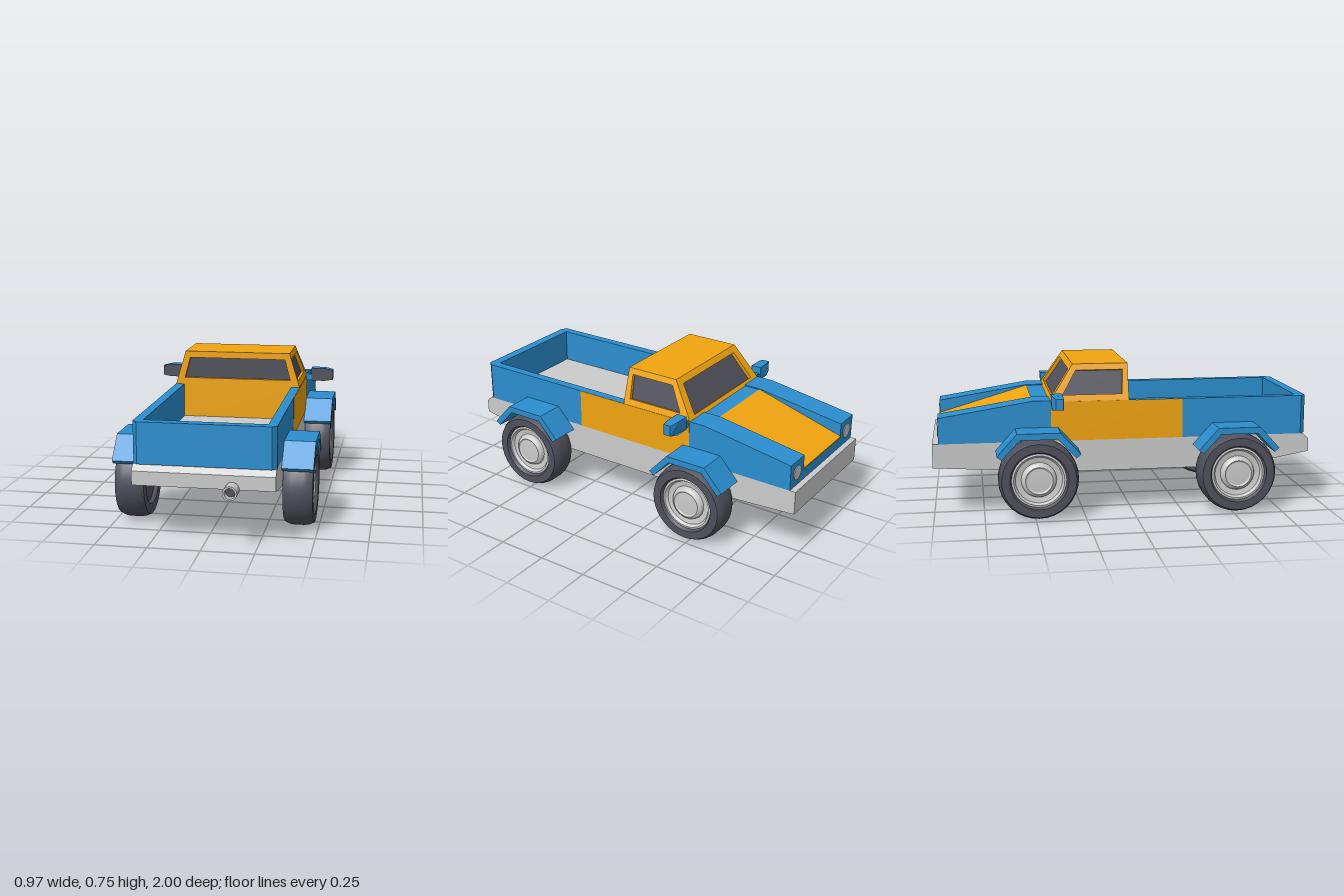
import * as THREE from 'three';
import { toCreasedNormals } from 'three/addons/utils/BufferGeometryUtils.js';

const mat = (color) => new THREE.MeshStandardMaterial({ color });
const GREY = mat(0xcccccc), BLUE = mat(0x2b8fd0), ORANGE = mat(0xf2a50f), DARK = mat(0x50505c);

export function createModel() {
  const truck = new THREE.Group();
  truck.name = 'pickupTruck';

  function add(name, geometry, material, parent = truck) {
    const mesh = new THREE.Mesh(geometry, material);
    mesh.name = name;
    parent.add(mesh);
    return mesh;
  }
  const shapeOf = (pts) => new THREE.Shape(pts.map(([a, b]) => new THREE.Vector2(a, b)));

  // side profile of [z, y] points, extruded across from x0 to x1
  function profile(pts, x0, x1) {
    const g = new THREE.ExtrudeGeometry(shapeOf(pts), { depth: x1 - x0, bevelEnabled: false });
    return g.rotateY(-Math.PI / 2).translate(x1, 0, 0);
  }
  function box(x0, x1, y0, y1, z0, z1) {
    return new THREE.BoxGeometry(x1 - x0, y1 - y0, z1 - z0)
      .translate((x0 + x1) / 2, (y0 + y1) / 2, (z0 + z1) / 2);
  }
  function quads(list) {
    const pos = list.flatMap(([a, b, c, d]) => [a, b, c, a, c, d].flatMap((p) => p.toArray()));
    const g = new THREE.BufferGeometry();
    g.setAttribute('position', new THREE.Float32BufferAttribute(pos, 3));
    g.computeVertexNormals();
    return g;
  }
  const lathe = (pts, n) => toCreasedNormals(
    new THREE.LatheGeometry(pts.map(([r, h]) => new THREE.Vector2(r, h)), n), 0.45);

  // Cab face with a recessed window; corners run counter-clockwise from bottom left
  function windowPanel(name, corners, u0, u1, v0, v1) {
    const c = corners.map((p) => new THREE.Vector3(...p));
    const at = (u, v) => c[0].clone().lerp(c[1], u).lerp(c[3].clone().lerp(c[2], u), v);
    const inward = c[1].clone().sub(c[0]).cross(c[3].clone().sub(c[0])).normalize().multiplyScalar(-0.018);
    const rim = [at(u0, v0), at(u1, v0), at(u1, v1), at(u0, v1)];
    const glass = rim.map((p) => p.clone().add(inward));
    const frame = [];
    for (let i = 0; i < 4; i++) {
      const j = (i + 1) % 4;
      frame.push([c[i], c[j], rim[j], rim[i]], [rim[i], rim[j], glass[j], glass[i]]);
    }
    add(name + 'Frame', quads(frame), ORANGE);
    add(name + 'Glass', quads([glass]), DARK);
  }

  // Chassis
  add('chassis', profile([[-1, 0.37], [-1, 0.25], [-0.36, 0.21], [0.56, 0.21], [0.93, 0.275],
    [0.93, 0.342], [0.9, 0.37]], -0.335, 0.335), GREY);

  // Cargo bed: U-shaped wall with clipped rear corners, and floor
  const wall = new THREE.ExtrudeGeometry(shapeOf([[-0.335, 0.02], [-0.335, -0.885], [-0.313, -0.91],
    [0.313, -0.91], [0.335, -0.885], [0.335, 0.02], [0.29, 0.02], [0.29, -0.86], [-0.29, -0.86],
    [-0.29, 0.02]]), { depth: 0.2, bevelEnabled: false });
  add('bedWalls', wall.rotateX(-Math.PI / 2).translate(0, 0.37, 0), BLUE);
  add('bedFloor', box(-0.29, 0.29, 0.365, 0.395, -0.02, 0.86), GREY);

  // Cab
  const W = 0.335, T = 0.28, Y0 = 0.57, Y1 = 0.75, ZR = -0.015, ZF = -0.415, ZT = -0.295;
  add('cabLower', box(-W, W, 0.37, Y0, -0.41, ZR), ORANGE);
  const rb = [W, Y0, ZR], fb = [W, Y0, ZF], ft = [T, Y1, ZT], rt = [T, Y1, ZR];
  const flip = ([x, y, z]) => [-x, y, z];
  windowPanel('leftWindow', [rb, fb, ft, rt], 0.09, 0.88, 0.17, 0.83);
  windowPanel('rightWindow', [fb, rb, rt, ft].map(flip), 0.12, 0.91, 0.17, 0.83);
  windowPanel('rearWindow', [flip(rb), rb, rt, flip(rt)], 0.06, 0.94, 0.2, 0.81);
  windowPanel('windshield', [fb, flip(fb), flip(ft), ft], 0.08, 0.92, 0.1, 0.84);
  add('roof', quads([[flip(rt), rt, ft, flip(ft)].map((p) => new THREE.Vector3(...p))]), ORANGE);

  // Hood: sunken centre between two raised sides
  add('hoodBase', profile([[-0.41, 0.37], [-0.41, 0.57], [-0.5, 0.57], [-0.97, 0.43], [-0.97, 0.37]],
    -0.2, 0.2), BLUE);
  add('hoodPanel', profile([[-0.5, 0.565], [-0.5, 0.572], [-0.973, 0.432], [-0.973, 0.425]],
    -0.2, 0.2), ORANGE);

  // Wheel shapes, with the axle along x and the outer face at +x
  const tyre = lathe([[0, 0.02], [0.125, 0.02], [0.135, 0], [0.185, 0], [0.197, 0.025], [0.2, 0.045],
    [0.2, 0.098], [0.197, 0.118], [0.185, 0.143], [0.145, 0.143], [0.134, 0.125], [0.134, 0.1]], 32)
    .rotateZ(-Math.PI / 2);
  const rim = lathe([[0.136, 0.128], [0.126, 0.13], [0.116, 0.115], [0.088, 0.11], [0.082, 0.125],
    [0.068, 0.135], [0.06, 0.13], [0, 0.133]], 32).rotateZ(-Math.PI / 2);

  for (const s of [1, -1]) {
    const side = s > 0 ? 'left' : 'right';
    const span = (a, b) => (s > 0 ? [a, b] : [-b, -a]);

    add(side + 'SidePanel', box(...span(0.32, 0.337), 0.37, 0.569, -0.41, 0.26), ORANGE);
    add(side + 'HoodSide', profile([[-0.41, 0.37], [-0.41, 0.575], [-0.5, 0.575], [-0.97, 0.5],
      [-0.97, 0.37]], ...span(0.2, 0.335)), BLUE);
    add(side + 'Headlight', new THREE.CylinderGeometry(0.037, 0.037, 0.01, 24)
      .rotateX(Math.PI / 2).translate(s * 0.268, 0.437, -0.969), GREY);

    // Wheels and angular wheel arches
    for (const [end, z] of [['Front', -0.482], ['Rear', 0.523]]) {
      const wheel = new THREE.Group();
      wheel.name = side + end + 'Wheel';
      wheel.position.set(s * 0.337, 0.2, z);
      wheel.rotation.y = s > 0 ? 0 : Math.PI;
      add('tyre', tyre, DARK, wheel);
      add('rim', rim, GREY, wheel);
      truck.add(wheel);
      const arch = [[0.207, 0.33], [0.107, 0.44], [-0.107, 0.44], [-0.207, 0.33], [-0.183, 0.311],
        [-0.093, 0.408], [0.093, 0.408], [0.183, 0.311]];
      add(side + end + 'Arch', profile(arch.map(([a, y]) => [a + z, y]), ...span(0.325, 0.485)), BLUE);
    }

    // Door mirror with a dark rear-facing glass
    const outline = [[0.365, 0.545], [0.44, 0.545], [0.485, 0.553], [0.485, 0.607], [0.44, 0.615],
      [0.365, 0.615]].map(([x, y]) => [x * s, y]);
    const slab = (depth, z) => new THREE.ExtrudeGeometry(shapeOf(outline), { depth, bevelEnabled: false })
      .translate(0, 0, z);
    const shell = slab(0.05, -0.412);
    // sweep the outer front corner back
    const p = shell.attributes.position;
    for (let i = 0; i < p.count; i++) {
      if (Math.abs(p.getX(i)) > 0.48 && p.getZ(i) < -0.4) p.setZ(i, -0.397);
    }
    shell.computeVertexNormals();
    add(side + 'MirrorShell', shell, BLUE);
    add(side + 'MirrorGlass', slab(0.004, -0.362), DARK);
    add(side + 'MirrorArm', box(...span(0.32, 0.37), 0.545, 0.58, -0.405, -0.365), BLUE);
  }

  // Exhaust pipe
  const pipe = lathe([[0.02, 0], [0.034, 0.05], [0.034, 0.13], [0.025, 0.13], [0.025, 0.09]], 20);
  add('exhaustPipe', pipe.rotateX(Math.PI / 2).translate(0.135, 0.277, 0.87), GREY);
  add('exhaustBore', new THREE.CircleGeometry(0.026, 20).translate(0.135, 0.277, 0.965), DARK);

  return truck;
}
